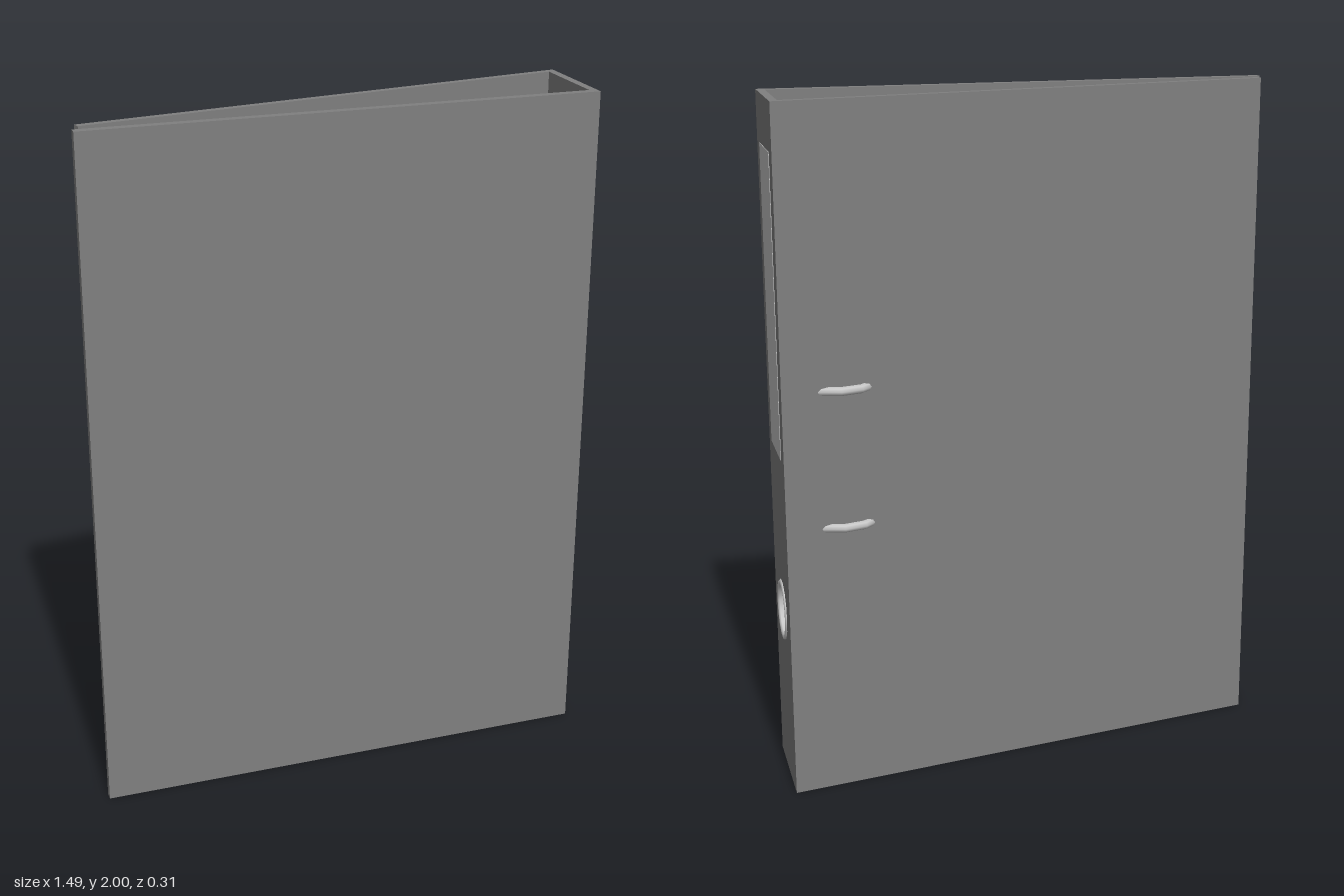
import * as THREE from 'three';

const HEIGHT = 2;
const board = new THREE.MeshStandardMaterial({ name: 'grey board', color: 0x808080 });
const paper = new THREE.MeshStandardMaterial({ name: 'label paper', color: 0xc4c4c4 });
const metal = new THREE.MeshStandardMaterial({ name: 'metal', color: 0xc8c8c8 });
const flatMetal = metal;

function part(parent, name, geometry, material) {
  const mesh = new THREE.Mesh(geometry, material);
  mesh.name = name;
  parent.add(mesh);
  return mesh;
}

// Upright slab from a plan outline of [x, z] points
function slab(outline) {
  const shape = new THREE.Shape(outline.map(([x, z]) => new THREE.Vector2(x, -z)));
  const geometry = new THREE.ExtrudeGeometry(shape, { depth: HEIGHT, bevelEnabled: false });
  return geometry.rotateX(-Math.PI / 2);
}

// Curve whose steps fall exactly on the given points
class PointPath extends THREE.Curve {
  constructor(points) {
    super();
    this.points = points;
  }
  getPoint(t, target = new THREE.Vector3()) {
    const last = this.points.length - 1;
    const i = Math.min(Math.floor(t * last + 1e-9), last - 1);
    return target.lerpVectors(this.points[i], this.points[i + 1], t * last - i);
  }
  getPointAt(u, target) { return this.getPoint(u, target); }
  getTangentAt(u, target) { return this.getTangent(u, target); }
}

export function createModel() {
  const binder = new THREE.Group();
  binder.name = 'ringBinder';

  // Covers: the back one leans in towards the front one
  part(binder, 'frontCover', slab([[-0.743, 0.131], [0.738, 0.131], [0.738, 0.156], [-0.743, 0.156]]), board);
  part(binder, 'backCover', slab([[-0.726, 0.079], [0.738, -0.157], [0.738, -0.135], [-0.72, 0.1]]), board);

  // Spine with a round finger hole
  const fingerY = 0.515;
  const spine = new THREE.Shape([
    new THREE.Vector2(-0.131, 0), new THREE.Vector2(0.135, 0),
    new THREE.Vector2(0.135, HEIGHT), new THREE.Vector2(-0.131, HEIGHT),
  ]);
  spine.holes.push(new THREE.Path().absarc(0, fingerY, 0.08, 0, Math.PI * 2, true));
  const spineGeometry = new THREE.ExtrudeGeometry(spine, { depth: 0.023, bevelEnabled: false, curveSegments: 12 });
  part(binder, 'spine', spineGeometry.rotateY(Math.PI / 2).translate(0.715, 0, 0), board);

  // Spine label
  part(binder, 'spineLabel', new THREE.BoxGeometry(0.002, 0.86, 0.2), paper).position.set(0.7385, 1.43, 0);

  // Metal rim lining the finger hole
  const rim = [
    [0.072, 0.711], [0.09, 0.711], [0.09, 0.739], [0.086, 0.743],
    [0.078, 0.743], [0.072, 0.738], [0.072, 0.711],
  ].map(([r, y]) => new THREE.Vector2(r, y));
  const rimGeometry = new THREE.LatheGeometry(rim, 14).rotateZ(-Math.PI / 2);
  part(binder, 'fingerRim', rimGeometry, flatMetal).position.y = fingerY;

  // Two paper arches standing on the front cover and passing through the back one
  const arch = [new THREE.Vector3(0.685, 0, 0.135)];
  for (let i = 0; i <= 6; i++) {
    const a = (i / 6) * Math.PI;
    arch.push(new THREE.Vector3(0.57 + 0.115 * Math.cos(a), 0, -0.035 - 0.109 * Math.sin(a)));
  }
  arch.push(new THREE.Vector3(0.455, 0, 0.135));
  const archGeometry = new THREE.TubeGeometry(new PointPath(arch), arch.length - 1, 0.013, 8);
  for (const [name, y] of [['upperArch', 1.2], ['lowerArch', 0.8]]) {
    part(binder, name, archGeometry, metal).position.y = y;
  }

  return binder;
}
